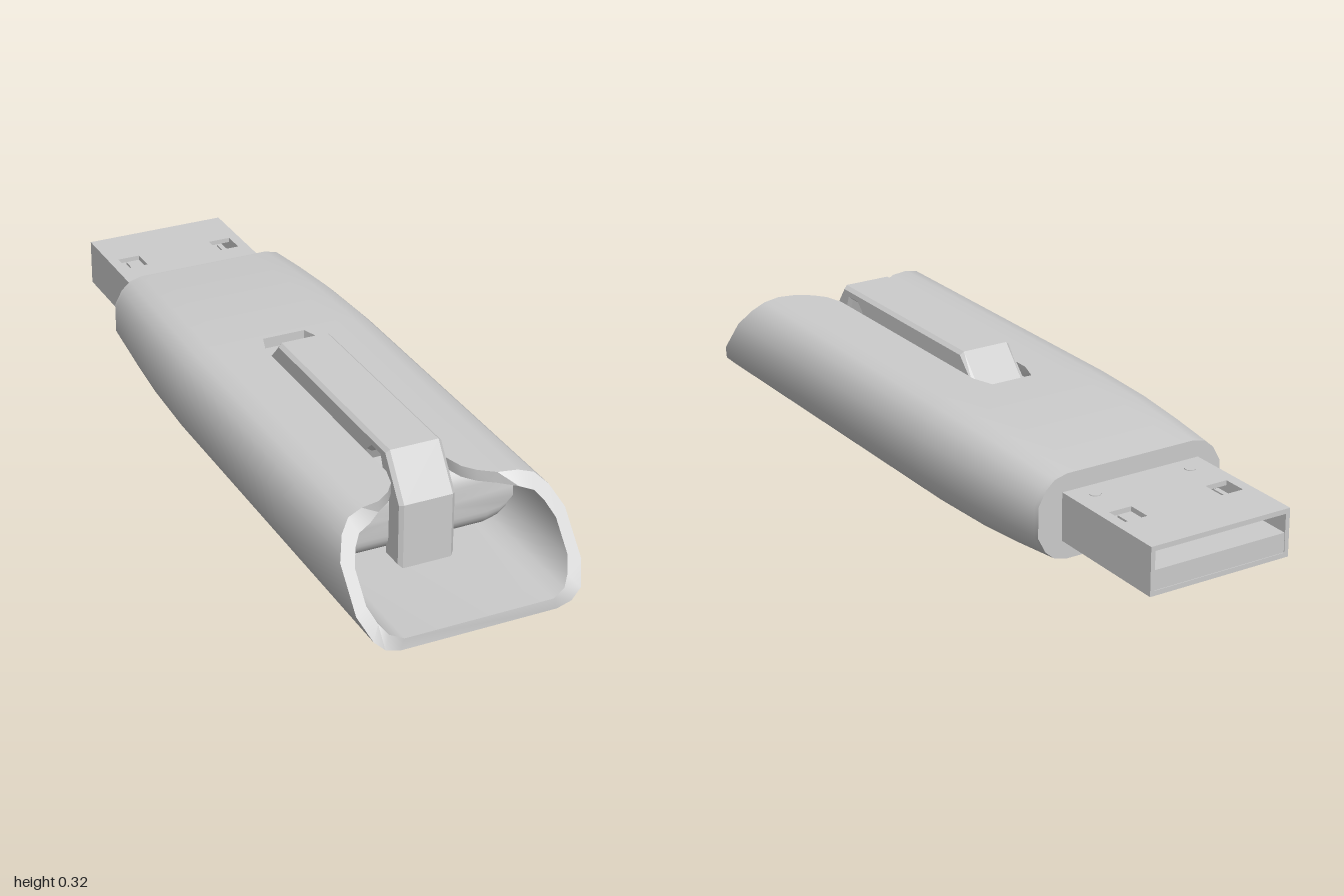
import * as THREE from 'three';
import { toCreasedNormals } from 'three/addons/utils/BufferGeometryUtils.js';

const mat = new THREE.MeshStandardMaterial({ color: 0xcccccc });
const CY = 0.137; // height of the body's centre line

// Right half of the body section, from the top slot round to the bottom
const OUTER = [[0.08, 0.273], [0.095, 0.273], [0.12, 0.273], [0.16, 0.273], [0.21, 0.273], [0.25, 0.262],
  [0.278, 0.235], [0.302, 0.187], [0.302, 0.088], [0.278, 0.038], [0.25, 0.012], [0.21, 0]];
const INNER = [[0.08, 0.243], [0.095, 0.243], [0.12, 0.243], [0.16, 0.243], [0.2, 0.243], [0.235, 0.23],
  [0.254, 0.207], [0.27, 0.172], [0.27, 0.102], [0.254, 0.067], [0.235, 0.044], [0.2, 0.031]];
const FLARE = [0.66, 0.715, 0.748, 0.778]; // front edge of the roof beside the slot

const mirrorX = half => [...half, ...half.slice().reverse().map(([x, ...r]) => [-x, ...r])];

// Collects quads, dropping collapsed triangles
function surface() {
  const pos = [];
  const tri = (a, b, c) => {
    const [A, B, C] = [a, b, c].map(p => new THREE.Vector3(...p));
    if (B.clone().sub(A).cross(C.clone().sub(A)).length() > 1e-9) pos.push(...a, ...b, ...c);
  };
  return {
    quad(a, b, c, d) { tri(a, b, c); tri(a, c, d); },
    // Skin closed rings that run clockwise as seen from +z, stacked towards +z
    skin(rings) {
      for (let j = 0; j + 1 < rings.length; j++) {
        const p = rings[j], q = rings[j + 1], n = p.length;
        for (let i = 0; i < n; i++) this.quad(p[i], q[i], q[(i + 1) % n], p[(i + 1) % n]);
      }
    },
    geometry(crease) {
      const g = new THREE.BufferGeometry();
      g.setAttribute('position', new THREE.Float32BufferAttribute(pos, 3));
      return toCreasedNormals(g, crease);
    },
  };
}

function add(parent, name, geometry, x = 0, y = 0, z = 0) {
  const m = new THREE.Mesh(geometry, mat);
  m.name = name;
  m.position.set(x, y, z);
  parent.add(m);
  return m;
}

// Hollow sleeve: tapered tail, slotted roof and slanted open front
function sleeveGeometry() {
  // z, width scale, height scale, slot half width, inner scale
  const stations = [
    [-0.635, 0.9, 0.83, 0, 0], [-0.62, 0.905, 0.84, 0, 1], [-0.5, 0.94, 0.91, 0, 1], [-0.35, 0.975, 0.975, 0, 1],
    [-0.15, 1, 1, 0, 1], [-0.1, 1, 1, 0, 1], [-0.1, 1, 1, 0.06, 1], [-0.04, 1, 1, 0.08, 1], [0.5, 1, 1, 0.08, 1],
    [null, 1, 1, 0.08, 1],
  ];
  const slice = (half, [z, sx, sy, slot, k]) => mirrorX(half.map(([x, y], i) => [
    (i === 0 ? slot : x) * sx * k,
    CY + (y - CY) * sy * k,
    z ?? FLARE[i] ?? Math.min(1, 1 - 0.875 * (y - 0.031)),
  ]));
  const s = surface();
  const outs = stations.map(t => slice(OUTER, [...t.slice(0, 4), 1]));
  const ins = stations.map(t => slice(INNER, t));
  s.skin(outs.map((o, j) => [...o, ...ins[j].slice().reverse()]));
  // Front rim and tail face
  const n = outs[0].length, last = stations.length - 1;
  for (let i = 0; i < n; i++) {
    const k = (i + 1) % n;
    if (k) s.quad(outs[last][i], ins[last][i], ins[last][k], outs[last][k]);
    s.quad(outs[0][i], outs[0][k], ins[0][k], ins[0][i]);
  }
  return s.geometry(0.6);
}

// Sliding core with a rounded nose
function carriageGeometry() {
  const rings = [];
  const ring = (z, sy, sx = 0.998) =>
    rings.push(mirrorX(INNER).map(([x, y]) => [x * sx, CY + (y - CY) * sy, z]));
  ring(-0.2, 0, 0);
  ring(-0.2, 0.998);
  for (let i = 0; i <= 8; i++) {
    const a = (i / 8) * Math.PI / 2;
    ring(0.58 + 0.09 * Math.sin(a), 0.4 + 0.598 * Math.cos(a));
  }
  ring(0.67, 0, 0);
  const s = surface();
  s.skin(rings);
  return s.geometry(0.6);
}

// Bent strap in side profile (z, y), extruded across x
function clipGeometry() {
  const shape = new THREE.Shape([[-0.045, 0.24], [0.03, 0.323], [0.65, 0.323], [0.73, 0.21], [0.73, 0.033],
    [0.65, 0.033], [0.65, 0.2], [0.615, 0.29], [0.575, 0.29], [0.555, 0.272], [0.54, 0.24]]
    .map(p => new THREE.Vector2(...p)));
  const g = new THREE.ExtrudeGeometry(shape, {
    depth: 0.132, bevelThickness: 0.01, bevelSize: 0.009, bevelOffset: -0.009, bevelSegments: 1,
  });
  return g.translate(0, 0, -0.066).rotateY(-Math.PI / 2);
}

// Horizontal plate from z0 to z1 with two square windows
function windowPlate(halfWidth, z0, z1, y0, y1, hole) {
  const rect = (C, x0, a, x1, b) => new C([[x0, a], [x1, a], [x1, b], [x0, b]].map(p => new THREE.Vector2(...p)));
  const shape = rect(THREE.Shape, -halfWidth, -z1, halfWidth, -z0);
  for (const side of [-1, 1]) {
    const c = side * 0.142;
    shape.holes.push(rect(THREE.Path, c - 0.032, -hole[1], c + 0.032, -hole[0]));
  }
  return new THREE.ExtrudeGeometry(shape, { depth: y1 - y0, bevelEnabled: false })
    .rotateX(-Math.PI / 2).translate(0, y0, 0);
}

export function createModel() {
  const model = new THREE.Group();
  model.name = 'flashDrive';
  add(model, 'sleeve', sleeveGeometry());
  add(model, 'carriage', carriageGeometry());
  add(model, 'clip', clipGeometry());

  // Metal plug with contact tongue in its lower half
  const plug = new THREE.Group();
  plug.name = 'plug';
  model.add(plug);
  add(plug, 'plugTop', windowPlate(0.203, -1, -0.63, 0.19, 0.203, [-0.855, -0.79]));
  add(plug, 'plugBottom', windowPlate(0.203, -1, -0.63, 0.075, 0.088, [-0.855, -0.79]));
  add(plug, 'contactTongue', windowPlate(0.191, -0.998, -0.63, 0.087, 0.14, [-0.832, -0.79]));
  for (const side of [-1, 1]) {
    add(plug, 'plugSide', new THREE.BoxGeometry(0.012, 0.104, 0.37), side * 0.197, 0.139, -0.815);
    add(plug, 'spring', new THREE.BoxGeometry(0.014, 0.006, 0.065), side * 0.142, 0.186, -0.822);
    add(plug, 'dimple', new THREE.CylinderGeometry(0.015, 0.015, 0.004, 12), side * 0.142, 0.203, -0.685);
  }
  return model;
}
